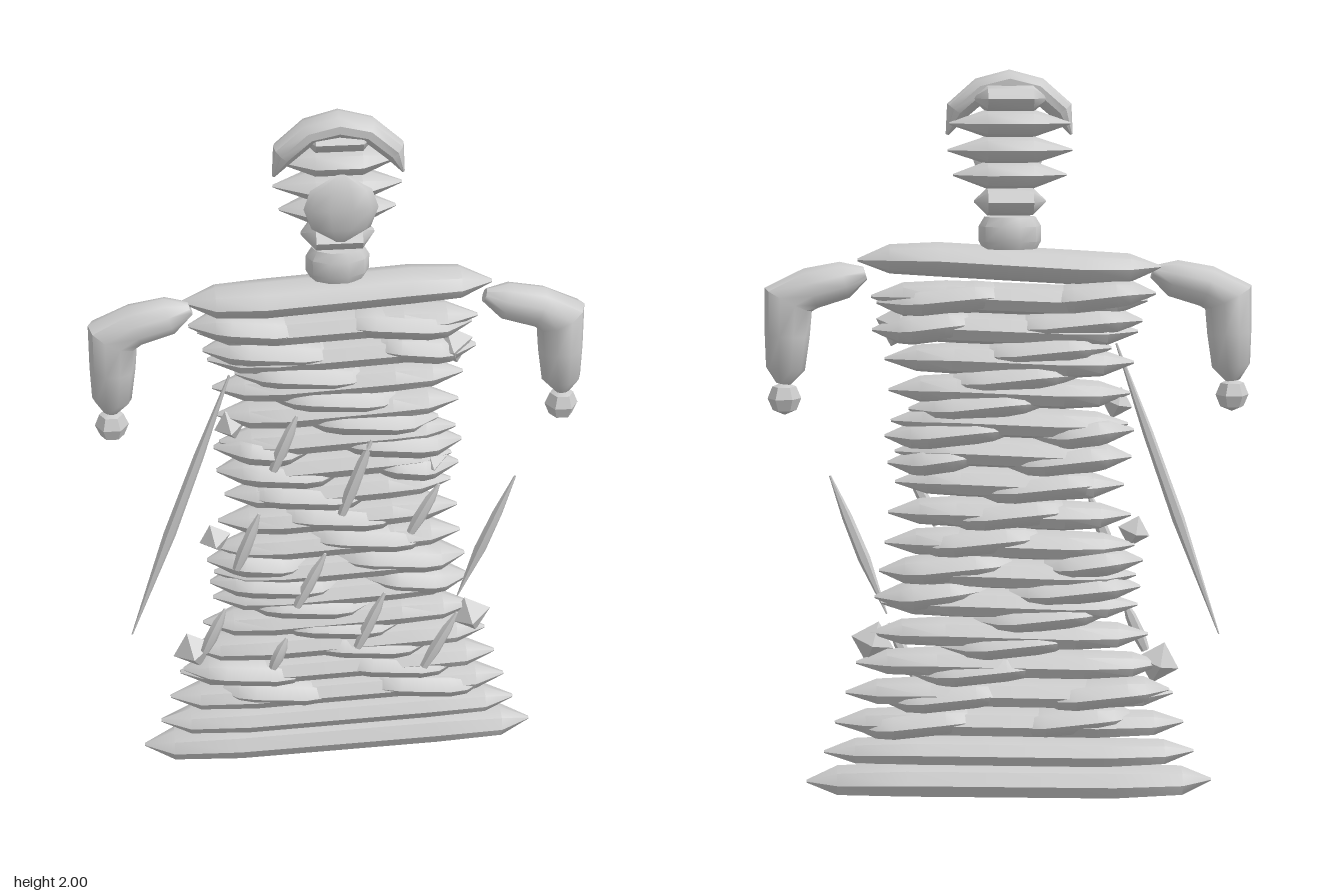
import * as THREE from 'three';
import { toCreasedNormals } from 'three/addons/utils/BufferGeometryUtils.js';

const stone = new THREE.MeshStandardMaterial({ color: 0xcccccc });
stone.name = 'pale grey';

// Sweep an elliptical section along points [x, y, radius]; depth is the z radius factor
function sweep(points, z, depth, sides = 8, crease = 0.75) {
  const pos = [], idx = [], n = points.length;
  points.forEach(([x, y, r], i) => {
    const a = points[Math.max(i - 1, 0)], b = points[Math.min(i + 1, n - 1)];
    const len = Math.hypot(b[0] - a[0], b[1] - a[1]);
    const nx = -(b[1] - a[1]) / len, ny = (b[0] - a[0]) / len;
    for (let j = 0; j < sides; j++) {
      const t = (j / sides) * Math.PI * 2, c = Math.cos(t) * r;
      pos.push(x + nx * c, y + ny * c, z + Math.sin(t) * r * depth);
    }
  });
  for (let i = 0; i < n - 1; i++) {
    for (let j = 0; j < sides; j++) {
      const a = i * sides + j, b = i * sides + (j + 1) % sides;
      idx.push(a, b, b + sides, a, b + sides, a + sides);
    }
  }
  // Closed ends
  for (let j = 1; j < sides - 1; j++) {
    const e = (n - 1) * sides;
    idx.push(0, j + 1, j, e, e + j, e + j + 1);
  }
  const g = new THREE.BufferGeometry();
  g.setAttribute('position', new THREE.Float32BufferAttribute(pos, 3));
  g.setIndex(idx);
  return toCreasedNormals(g, crease);
}

// Half width of the robe at a height
const widths = [0.56, 0.51, 0.48, 0.45, 0.42, 0.38, 0.35, 0.345, 0.34,
  0.33, 0.31, 0.31, 0.32, 0.325, 0.335, 0.345, 0.37, 0.405];
const rowY = (i) => 0.06 + i * 0.0835;
function halfWidth(y) {
  const t = THREE.MathUtils.clamp((y - 0.06) / 0.0835, 0, 16.999), i = Math.floor(t);
  return THREE.MathUtils.lerp(widths[i], widths[i + 1], t - i);
}

// Horizontal spindle with pointed ends
function spindle(x0, x1, y, r, taper, tilt) {
  const cx = (x0 + x1) / 2, h = (x1 - x0) / 2, s = 1 - taper / h;
  return [[-1, 0.004], [-s, r * 0.85], [-s * 0.6, r], [0, r], [s * 0.6, r], [s, r * 0.85], [1, 0.004]]
    .map(([t, rad]) => [cx + t * h, y + tilt * Math.sin(t * 2.2), rad]);
}

export function createModel() {
  const model = new THREE.Group();
  const add = (name, geometry, parent = model) => {
    const m = new THREE.Mesh(geometry, stone);
    m.name = name;
    parent.add(m);
    return m;
  };
  const group = (name) => {
    const g = new THREE.Group();
    g.name = name;
    model.add(g);
    return g;
  };

  // Robe: stacked full-width rows
  const robe = group('robe');
  widths.forEach((w, i) => {
    const top = i === 17;
    const r = i === 0 ? 0.05 : top ? 0.046 : 0.042;
    add('robeRow', sweep(spindle(-w, w, rowY(i) + (top ? 0.01 : 0), r, 0.085, top ? 0.014 : 0.009),
      -0.012, top ? 1.55 : i === 0 ? 1.3 : 1.45), robe);
  });

  // Diagonal bands of short folds
  const folds = group('folds');
  for (const y0 of [1.76, 1.4, 1.03, 0.67, 0.305]) {
    for (let i = 0; i < 7; i++) {
      const y = y0 - 0.073 * i, cx = -0.25 + 0.083 * i;
      if (y < 0.21 || y > 1.43) continue;
      const w = halfWidth(y) + 0.02;
      const x0 = Math.max(cx - 0.19, -w), x1 = Math.min(cx + 0.19, w);
      add('fold', sweep(spindle(x0, x1, y, 0.043, 0.07, -0.009), -0.012, 1.62), folds);
    }
  }

  // Faceted studs on the robe's edges
  const studs = group('studs');
  for (const [x, y, s] of [[-0.29, 1.11, 0.045], [-0.34, 0.755, 0.045], [-0.41, 0.385, 0.06],
    [0.3, 1.325, 0.06], [0.255, 0.97, 0.045], [0.375, 0.455, 0.06]]) {
    const stud = add('stud', new THREE.OctahedronGeometry(1), studs);
    stud.scale.set(s, s, 0.055);
    stud.position.set(x, y, 0);
    stud.rotation.z = 0.3;
  }

  // Slanted pegs on the front: top x, y and bottom x, y
  const pegs = group('pegs');
  for (const [ax, ay, bx, by] of [
    [-0.115, 1.155, -0.18, 0.99], [0.085, 1.07, 0.005, 0.84], [0.27, 0.92, 0.195, 0.77],
    [-0.22, 0.855, -0.285, 0.68], [-0.04, 0.715, -0.12, 0.545], [0.125, 0.575, 0.05, 0.395],
    [0.33, 0.495, 0.24, 0.315], [-0.32, 0.55, -0.38, 0.41], [-0.15, 0.44, -0.19, 0.34]]) {
    const at = (t) => [ax + (bx - ax) * t, ay + (by - ay) * t];
    add('peg', sweep([[...at(0), 0.004], [...at(0.3), 0.015], [...at(0.7), 0.018], [...at(1), 0.012]],
      0.047, 0.9, 6), pegs);
  }

  // Long thin spears at the sides
  for (const [ax, ay, bx, by] of [[-0.29, 1.27, -0.58, 0.46], [0.485, 0.915, 0.335, 0.53]]) {
    const at = (t) => [ax + (bx - ax) * t, ay + (by - ay) * t];
    add('spear', sweep([[...at(0), 0.003], [...at(0.3), 0.014], [...at(0.6), 0.017], [...at(1), 0.002]],
      0.015, 1, 6));
  }

  // Bent arms and faceted hands
  for (const side of [1, -1]) {
    const arm = group(side > 0 ? 'leftArm' : 'rightArm');
    const path = [[0.385, 1.465, 0.018], [0.44, 1.447, 0.05], [0.53, 1.425, 0.056], [0.59, 1.395, 0.07],
      [0.594, 1.3, 0.06], [0.6, 1.21, 0.052], [0.606, 1.17, 0.02]].map(([x, y, r]) => [x * side, y, r]);
    add('sleeve', sweep(path, 0, 1, 10, 0.9), arm);
    const hand = add('hand', toCreasedNormals(new THREE.SphereGeometry(0.045, 6, 4), 0.5), arm);
    hand.position.set(0.604 * side, 1.13, 0);
  }

  // Neck
  add('neck', sweep([[0, 1.53, 0.072], [0, 1.55, 0.083], [0, 1.59, 0.083], [0, 1.615, 0.068]], -0.022, 0.72, 10));

  // Head: stacked pointed rows
  const head = group('head');
  for (const [y, w] of [[1.655, 0.095], [1.725, 0.15], [1.79, 0.165], [1.86, 0.16], [1.925, 0.1]]) {
    add('headRow', sweep([[-w, y, 0.003], [-0.06, y, 0.037], [0.06, y, 0.037], [w, y, 0.003]],
      -0.022, 1.95), head);
  }

  // Crescent cap over the brow
  add('cap', sweep([[-0.165, 1.83, 0.004], [-0.14, 1.892, 0.031], [-0.075, 1.948, 0.032], [0, 1.966, 0.034],
    [0.075, 1.948, 0.032], [0.14, 1.892, 0.031], [0.165, 1.83, 0.004]], 0.006, 1.45, 10));

  // Lens-shaped face plate
  add('face', sweep([[0, 1.672, 0.012], [0, 1.71, 0.075], [0, 1.765, 0.095], [0, 1.815, 0.078], [0, 1.855, 0.012]],
    0.073, 0.26, 10, 0.9));

  return model;
}
